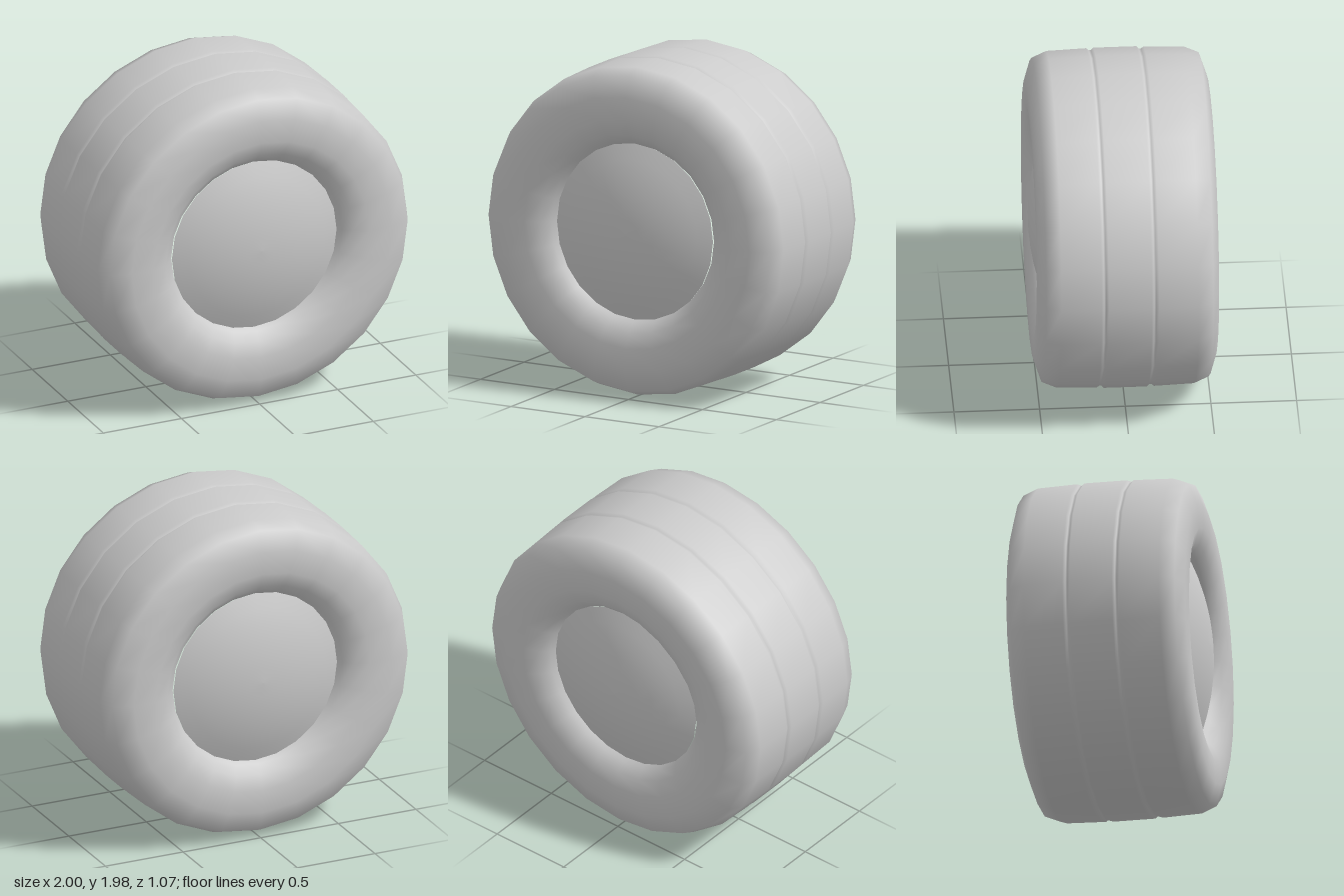
import * as THREE from 'three';

const SIDES = 24;
const AXLE_Y = 0.99;

// Revolves (radius, depth) pairs around the z axis
function revolve(name, pairs, material) {
  const points = pairs.map(([r, z]) => new THREE.Vector2(r, z));
  const geometry = new THREE.LatheGeometry(points, SIDES);
  geometry.rotateX(Math.PI / 2);
  const mesh = new THREE.Mesh(geometry, material);
  mesh.name = name;
  return mesh;
}

export function createModel() {
  const material = new THREE.MeshStandardMaterial({ color: 0xcccccc });
  const wheel = new THREE.Group();
  wheel.name = 'wheel';

  // Tyre: half a section from the tread centre to the hub seat, then mirrored
  const half = [
    [1.0, 0.125], [0.986, 0.14], [0.986, 0.152], [0.998, 0.168], // tread groove
    [0.99, 0.4], [0.953, 0.488], [0.83, 0.528], // shoulder
    [0.69, 0.528], [0.6, 0.496], [0.55, 0.45], [0.525, 0.41], // side wall
  ];
  const mirrored = half.map(([r, z]) => [r, -z]).reverse();
  const tyre = revolve('tyre', [...mirrored, ...half], material);
  tyre.scale.y = 0.99;
  wheel.add(tyre);

  // Hub caps: a shallow dome on each side
  const rim = 0.527, edge = 0.425, rise = 0.111;
  const R = (rim * rim + rise * rise) / (2 * rise);
  const dome = [];
  for (let i = 0; i <= 6; i++) {
    const r = rim * (1 - i / 6);
    dome.push([r, edge + rise - R + Math.sqrt(R * R - r * r)]);
  }
  for (const [name, turn] of [['frontHubCap', 0], ['backHubCap', Math.PI]]) {
    const cap = revolve(name, dome, material);
    cap.rotation.y = turn;
    wheel.add(cap);
  }

  wheel.position.y = AXLE_Y;
  const model = new THREE.Group();
  model.add(wheel);
  return model;
}
